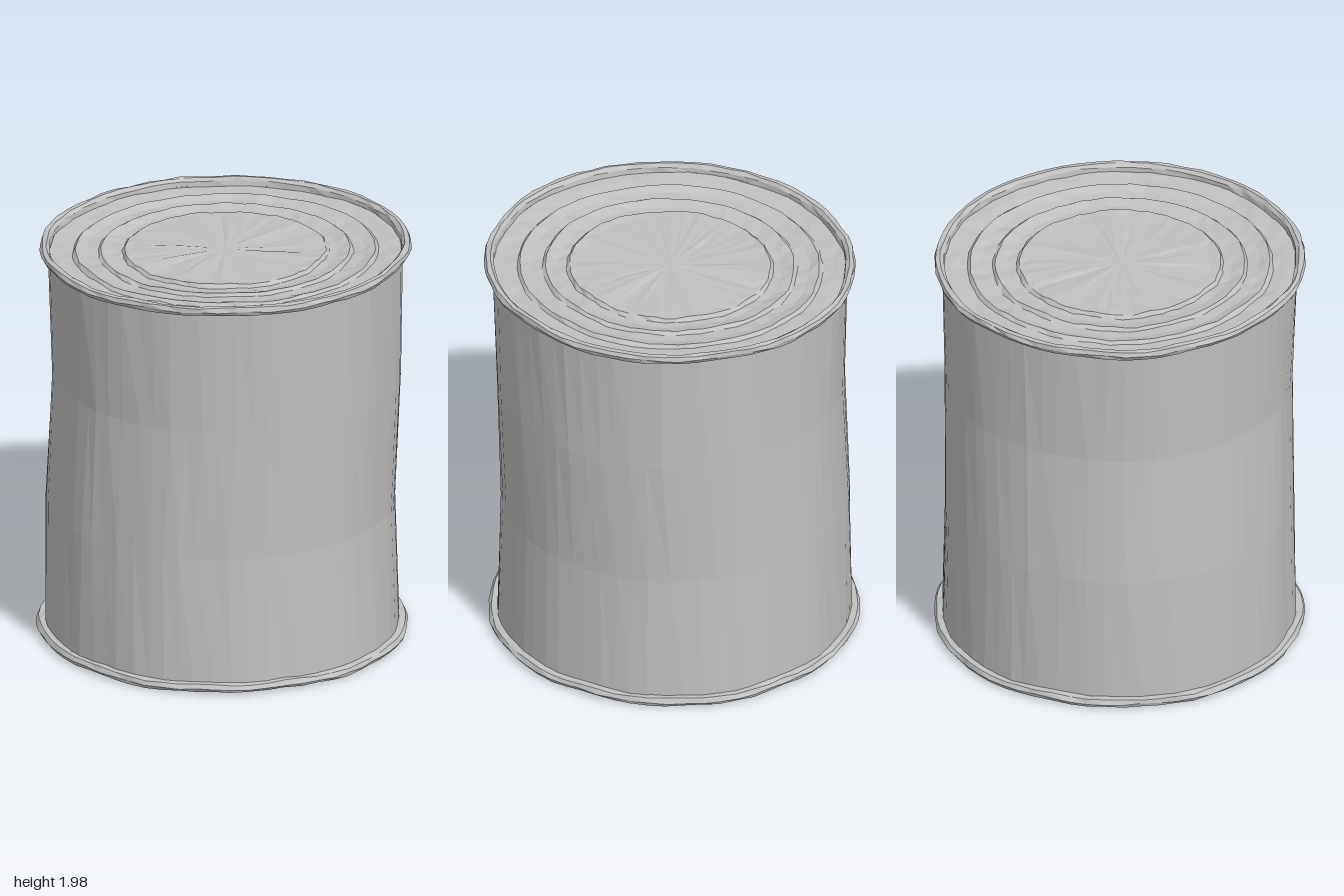
import * as THREE from 'three';

const SEGMENTS = 64;

// Repeatable noise in -1..1 for a column and ring
function noise(column, ring) {
  const s = Math.sin((column % SEGMENTS) * 127.1 + ring * 311.7 + 4.3) * 43758.5453;
  return (s - Math.floor(s)) * 2 - 1;
}

// Gentle dents round the can, drifting with height
function dent(angle, y) {
  return 0.5 * Math.sin(angle * 5 + y * 0.9) + 0.5 * Math.sin(angle * 11 - y * 1.3 + 1);
}

// Sideways drift of the can's axis, by height
const LEVELS = [0.04, 0.68, 1.33, 1.95];
const DRIFT_X = [-0.005, -0.01, 0.005, -0.004];
const DRIFT_Z = [-0.004, -0.01, 0.014, 0.014];
function drift(values, y) {
  if (y <= LEVELS[0]) return values[0];
  for (let i = 1; i < LEVELS.length; i++) {
    if (y <= LEVELS[i]) {
      const t = (y - LEVELS[i - 1]) / (LEVELS[i] - LEVELS[i - 1]);
      return THREE.MathUtils.lerp(values[i - 1], values[i], t);
    }
  }
  return values[values.length - 1];
}

// Turned sheet metal, crumpled by a rule and faceted
function crumpledTurning(name, profile, material, wobble, seed) {
  const points = profile.map(([r, y]) => new THREE.Vector2(r, y));
  const lathe = new THREE.LatheGeometry(points, SEGMENTS);
  const pos = lathe.attributes.position;
  for (let i = 0; i < pos.count; i++) {
    const ring = i % points.length;
    const column = Math.floor(i / points.length) % SEGMENTS;
    const { x: r0, y: y0 } = points[ring];
    let angle = (column / SEGMENTS) * Math.PI * 2;
    let r = r0, y = y0;
    if (r0 > 0.01) {
      const key = ring + seed;
      r += wobble.radial * noise(column, key) + wobble.dent * dent(angle, y0);
      y += wobble.height * (0.5 * noise(column, key + 50) + 0.5 * dent(angle + 2, y0));
      angle += wobble.twist * noise(column, key + 90);
    }
    const x = r * Math.sin(angle) + drift(DRIFT_X, y0);
    const z = r * Math.cos(angle) + drift(DRIFT_Z, y0);
    // The top leans slightly towards the back
    if (y0 > 1.5) y += 0.018 * z;
    pos.setXYZ(i, x, y, z);
  }
  const geometry = lathe.toNonIndexed();
  geometry.computeVertexNormals();
  const mesh = new THREE.Mesh(geometry, material);
  mesh.name = name;
  return mesh;
}

// Stepped end panel from the centre outwards; rise is distance above the panel floor
const END_PANEL = [
  [0, 0.006], [0.22, 0.006], [0.43, 0.006], [0.475, 0.008], [0.49, -0.008],
  [0.53, -0.008], [0.59, 0.006], [0.605, -0.008], [0.66, -0.006],
  [0.71, 0.008], [0.725, -0.008], [0.78, -0.004], [0.835, 0],
];

export function createModel() {
  const can = new THREE.Group();
  can.name = 'tinCan';
  const metal = new THREE.MeshStandardMaterial({ color: 0xc0c0c0, side: THREE.DoubleSide });
  metal.name = 'tin grey';

  // Side wall
  can.add(crumpledTurning('sideWall',
    [[0.838, 0.04], [0.827, 0.68], [0.825, 1.33], [0.842, 1.95]],
    metal, { radial: 0.003, dent: 0.005, height: 0, twist: 0.02 }, 1));

  // Rolled rims
  const rimWobble = { radial: 0.004, dent: 0.005, height: 0.007, twist: 0.01 };
  can.add(crumpledTurning('topRim',
    [[0.835, 1.94], [0.868, 1.935], [0.879, 1.955], [0.872, 1.975], [0.85, 1.978], [0.836, 1.962], [0.832, 1.93]],
    metal, rimWobble, 10));
  can.add(crumpledTurning('bottomRim',
    [[0.832, 0.06], [0.836, 0.034], [0.85, 0.018], [0.87, 0.02], [0.88, 0.036], [0.868, 0.056], [0.835, 0.058]],
    metal, rimWobble, 20));

  // Ridged ends, recessed inside the rims
  const endWobble = { radial: 0.004, dent: 0.003, height: 0.007, twist: 0.012 };
  can.add(crumpledTurning('lid',
    END_PANEL.map(([r, rise]) => [r, 1.937 + rise]).reverse(), metal, endWobble, 30));
  can.add(crumpledTurning('base',
    END_PANEL.map(([r, rise]) => [r, 0.048 - rise]), metal, endWobble, 30));

  return can;
}
